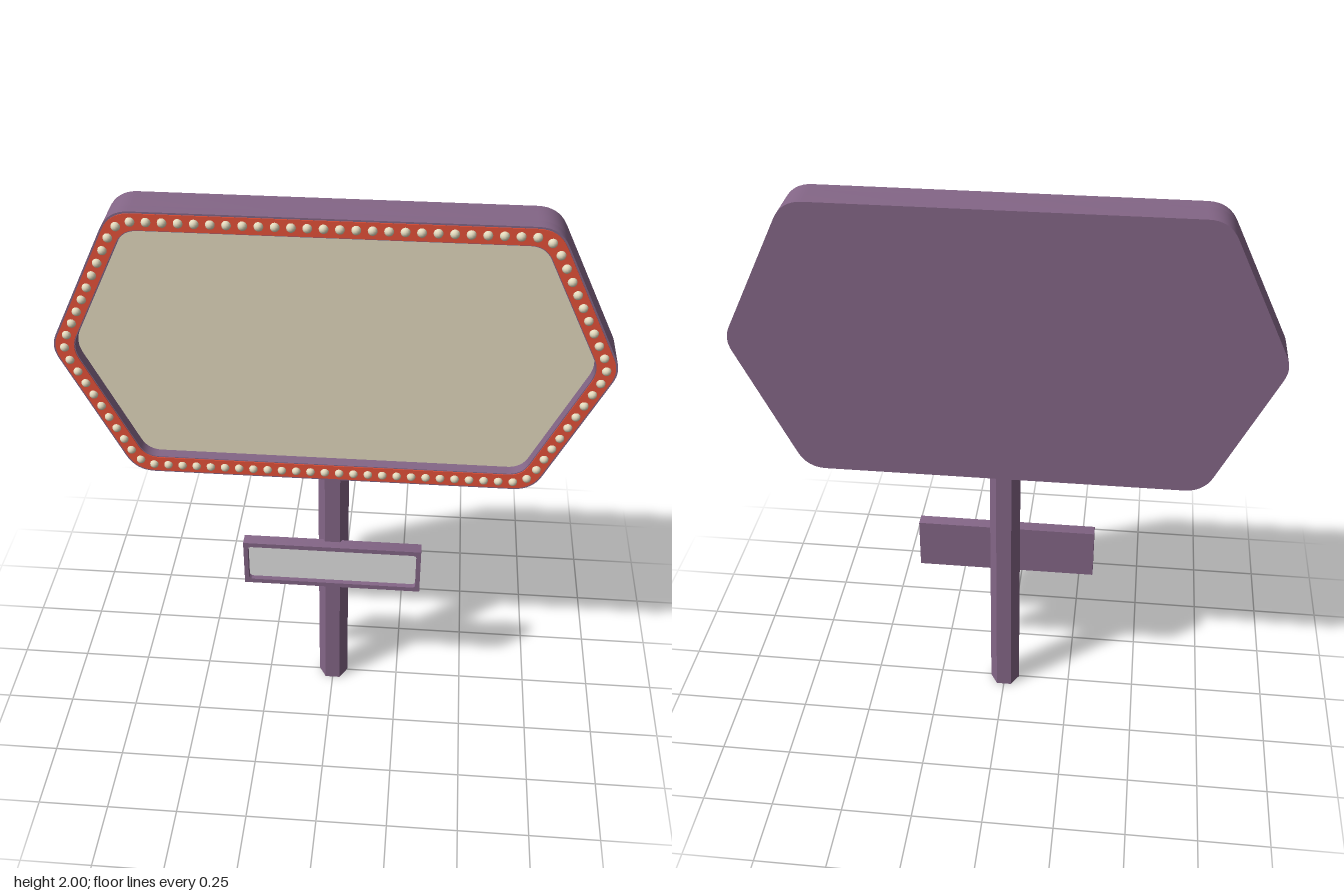
import * as THREE from 'three';
import { mergeGeometries, toCreasedNormals } from 'three/addons/utils/BufferGeometryUtils.js';

// Closed outline through [x, y, setback] corners, each rounded by a curve
function roundedOutline(corners) {
  const shape = new THREE.Shape();
  const n = corners.length;
  corners.forEach(([x, y, r], i) => {
    const toward = ([ox, oy]) => {
      const l = Math.hypot(ox - x, oy - y);
      return [x + ((ox - x) * r) / l, y + ((oy - y) * r) / l];
    };
    const a = toward(corners[(i + n - 1) % n]);
    const b = toward(corners[(i + 1) % n]);
    if (i === 0) shape.moveTo(...a);
    else shape.lineTo(...a);
    shape.quadraticCurveTo(x, y, ...b);
  });
  shape.closePath();
  return shape;
}

// Long hexagon outline of the sign, moved inward by d
function hexOutline(d) {
  const tip = 0.937 - d / 0.9;
  const h = 0.5 - d;
  const cx = tip - h * 0.484;
  const r = 0.068 - d * 0.3;
  return roundedOutline([
    [tip, 0, 0.05], [cx, h, r], [-cx, h, r],
    [-tip, 0, 0.05], [-cx, -h, r], [cx, -h, r],
  ]);
}

function rectOutline(w, h, r) {
  return roundedOutline([[w, -h, r], [w, h, r], [-w, h, r], [-w, -h, r]]);
}

// Extrude an outline, optionally with a hole, from z0 to z1
function slab(outline, hole, z0, z1) {
  if (hole) outline.holes.push(hole);
  const geo = new THREE.ExtrudeGeometry(outline, {
    depth: z1 - z0, bevelEnabled: false, curveSegments: 8,
  });
  geo.translate(0, 0, z0);
  return toCreasedNormals(geo, 0.5);
}

export function createModel() {
  const material = (name, color) => {
    const m = new THREE.MeshStandardMaterial({ color });
    m.name = name;
    return m;
  };
  const purple = material('purple paint', 0x846687);
  const red = material('red trim', 0xe8523a);
  const cream = material('cream panel', 0xe4dbbf);
  const grey = material('light grey panel', 0xe2e2e2);

  const model = new THREE.Group();
  model.name = 'roadsideSign';
  const add = (parent, name, geo, mat) => {
    const mesh = new THREE.Mesh(geo, mat);
    mesh.name = name;
    parent.add(mesh);
    return mesh;
  };

  // Hexagonal pole
  const poleGeo = new THREE.CylinderGeometry(0.055, 0.055, 1.005, 6).toNonIndexed();
  poleGeo.rotateY(Math.PI / 2 + Math.PI / 3);
  poleGeo.computeVertexNormals();
  add(model, 'pole', poleGeo, purple).position.set(0, 0.5025, -0.003);

  // Main sign: cabinet, raised rim, red trim and recessed panel
  const main = new THREE.Group();
  main.name = 'mainSign';
  main.position.y = 1.5;
  model.add(main);
  const inner = 0.065;
  add(main, 'cabinet', slab(hexOutline(0), null, -0.082, 0.02), purple);
  add(main, 'rim', slab(hexOutline(0), hexOutline(inner), 0.02, 0.063), purple);
  add(main, 'redTrim', slab(hexOutline(0.006), hexOutline(inner - 0.003), 0.062, 0.066), red);
  add(main, 'mainPanel', slab(hexOutline(inner + 0.001), null, 0.019, 0.024), cream);

  // Ring of bulbs, evenly spaced from the tip
  const path = hexOutline(0.033);
  const start = path.curves[0].getLength() / 2 / path.getLength();
  const count = 94;
  const bulbs = [];
  for (let i = 0; i < count; i++) {
    const p = path.getPoint((i / count + start) % 1);
    bulbs.push(new THREE.SphereGeometry(0.0155, 12, 8).translate(p.x, p.y, 0.065));
  }
  add(main, 'bulbs', mergeGeometries(bulbs), cream);

  // Small sign on the pole
  const small = new THREE.Group();
  small.name = 'smallSign';
  small.position.y = 0.605;
  model.add(small);
  const frame = rectOutline(0.325, 0.095, 0.001);
  add(small, 'smallSignBack', slab(rectOutline(0.325, 0.095, 0.001), null, 0.032, 0.056), purple);
  add(small, 'smallSignFrame', slab(frame, rectOutline(0.309, 0.077, 0.015), 0.056, 0.078), purple);
  add(small, 'smallPanel', slab(rectOutline(0.308, 0.076, 0.015), null, 0.055, 0.06), grey);

  return model;
}
